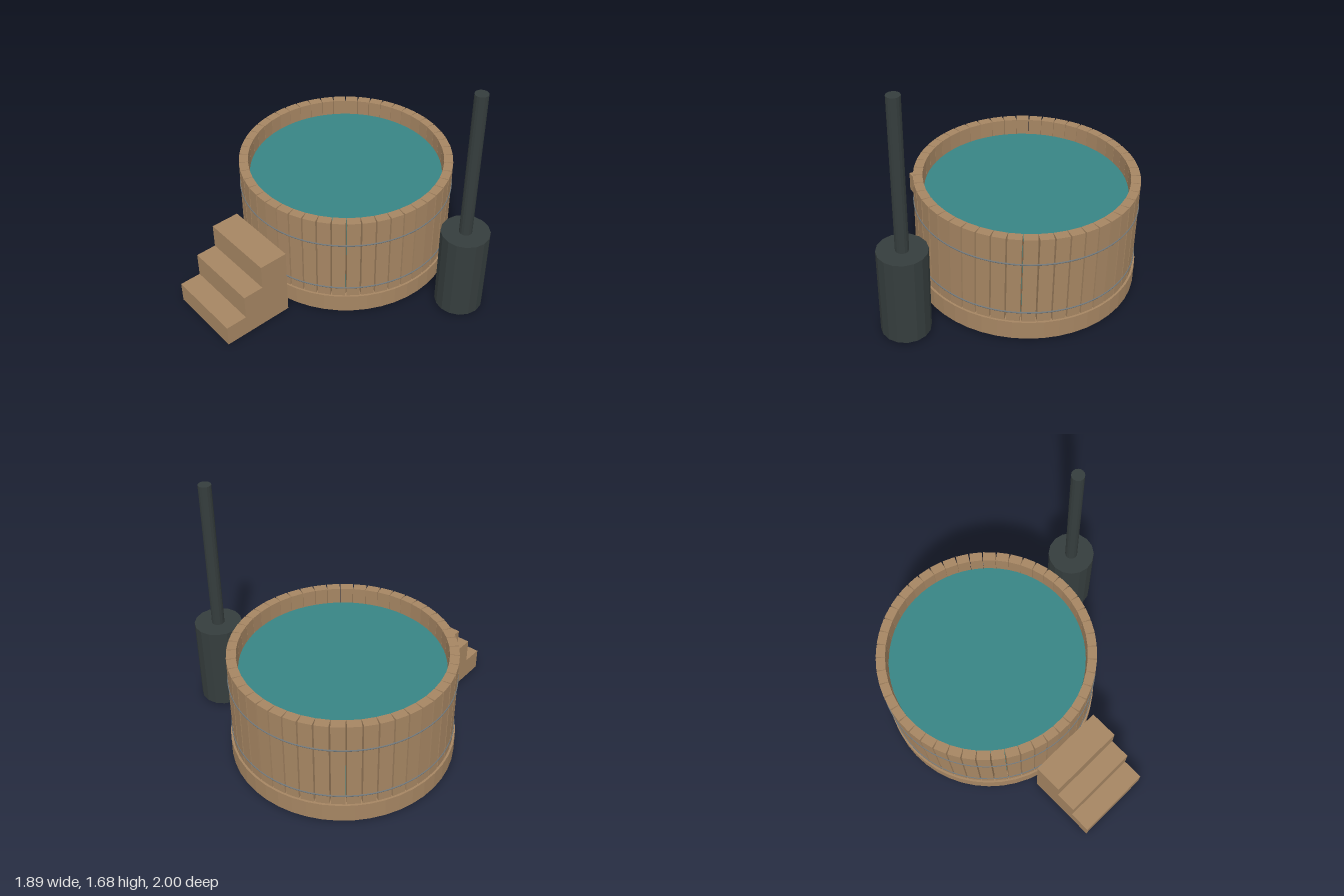
import * as THREE from 'three';

const wood = new THREE.MeshStandardMaterial({ color: 0xa58562, flatShading: true });
wood.name = 'cedar wood';
const water = new THREE.MeshStandardMaterial({ color: 0x388484 });
water.name = 'teal water';
const iron = new THREE.MeshStandardMaterial({ color: 0x353d3d, flatShading: true });
iron.name = 'dark iron';
const steel = new THREE.MeshStandardMaterial({ color: 0x72797c });
steel.name = 'steel band';

function add(parent, name, geometry, material, x = 0, y = 0, z = 0) {
  const mesh = new THREE.Mesh(geometry, material);
  mesh.name = name;
  mesh.position.set(x, y, z);
  parent.add(mesh);
  return mesh;
}

// Upright cylinder given by its bottom and top heights
function post(parent, name, radius, y0, y1, sides, material) {
  return add(parent, name, new THREE.CylinderGeometry(radius, radius, y1 - y0, sides), material, 0, (y0 + y1) / 2, 0);
}

export function createModel() {
  const model = new THREE.Group();
  model.name = 'hotTub';

  // Tub: plinth, water and a ring of separate staves
  const tub = new THREE.Group();
  tub.name = 'tub';
  tub.position.set(-0.195, 0, -0.25);
  model.add(tub);
  post(tub, 'plinth', 0.75, 0.03, 0.16, 48, wood);
  post(tub, 'water', 0.667, 0.16, 0.675, 64, water);

  const count = 48;
  const staveGeometry = new THREE.BoxGeometry(0.086, 0.625, 0.062);
  for (let i = 0; i < count; i++) {
    const a = (i / count) * Math.PI * 2;
    const stave = add(tub, 'stave', staveGeometry, wood, Math.sin(a) * 0.704, 0.4725, Math.cos(a) * 0.704);
    stave.rotation.y = a;
  }

  // Two thin hoops around the staves
  for (const y of [0.23, 0.603]) {
    const hoop = add(tub, 'hoop', new THREE.TorusGeometry(0.735, 0.006, 6, 96), steel, 0, y, 0);
    hoop.rotation.x = Math.PI / 2;
  }

  // Stove with its chimney
  const stove = new THREE.Group();
  stove.name = 'stove';
  stove.position.set(0.782, 0, -0.415);
  model.add(stove);
  post(stove, 'firebox', 0.161, 0.03, 0.635, 16, iron);
  post(stove, 'chimney', 0.043, 0.635, 1.68, 16, iron);

  // Three steps, extruded sideways from their side profile (z, y)
  const profile = new THREE.Shape([
    [0.505, 0], [1, 0], [1, 0.15], [0.85, 0.15], [0.85, 0.325], [0.705, 0.325], [0.705, 0.5], [0.505, 0.5],
  ].map(([z, y]) => new THREE.Vector2(-z, y)));
  const stepGeometry = new THREE.ExtrudeGeometry(profile, { depth: 0.535, bevelEnabled: false });
  stepGeometry.rotateY(Math.PI / 2);
  add(model, 'steps', stepGeometry, wood, -0.462, 0, 0);

  return model;
}
